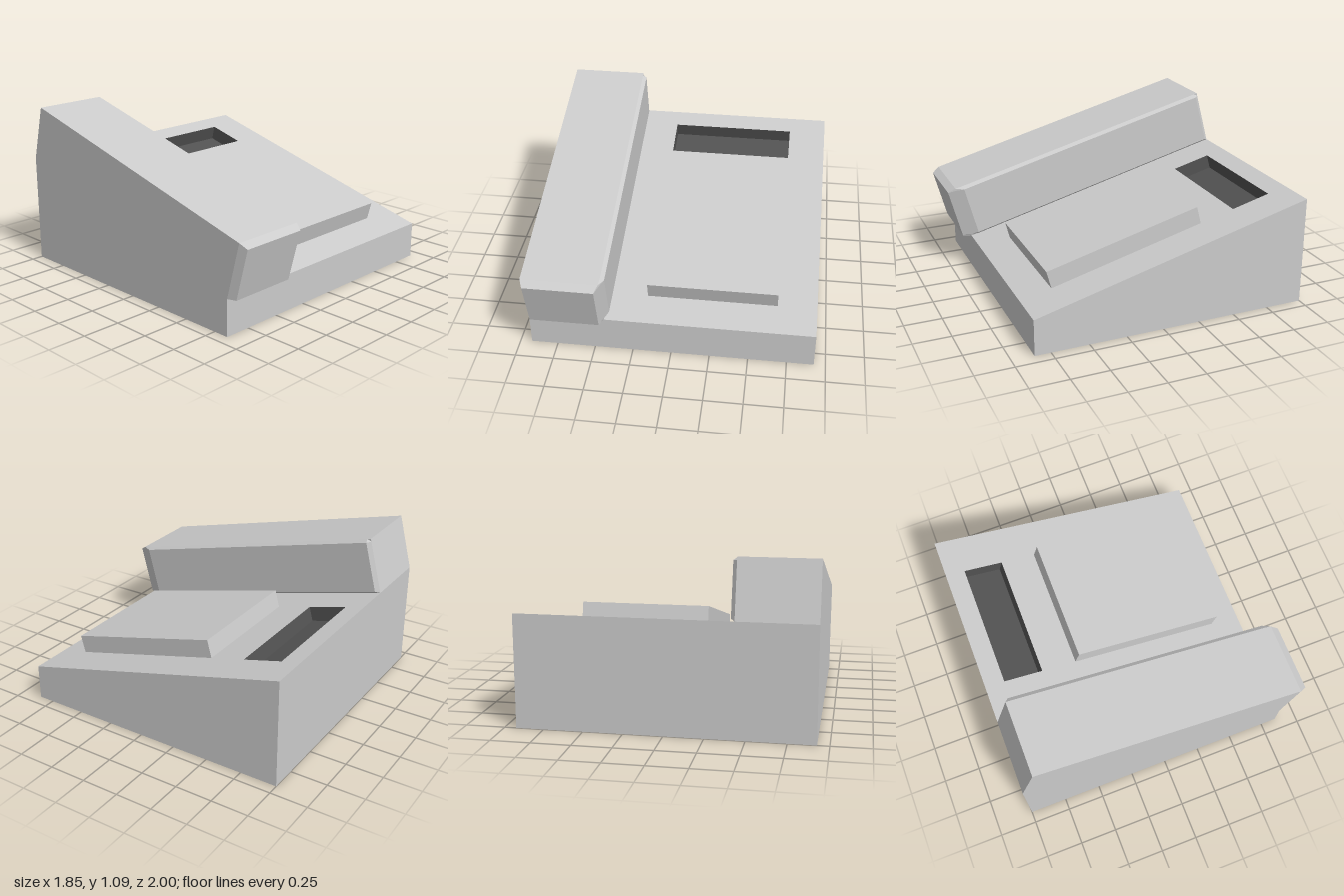
import * as THREE from 'three';

const HALF = 0.925, BACK = -1, FRONT = 0.855, BACK_H = 0.725, FRONT_H = 0.24;
const SLOPE = Math.atan2(BACK_H - FRONT_H, FRONT - BACK);
const DECK = Math.hypot(BACK_H - FRONT_H, FRONT - BACK);
const PANEL = { x0: -0.175, x1: 0.67 };

const grey = new THREE.MeshStandardMaterial({ color: 0xcccccc, flatShading: true });
const dark = new THREE.MeshStandardMaterial({ color: 0x525252, flatShading: true });

function part(name, geometry, material = grey) {
  const mesh = new THREE.Mesh(geometry, material);
  mesh.name = name;
  return mesh;
}

// Flat polygons (counter-clockwise from outside), each fanned into triangles
function polygons(faces) {
  const pos = [];
  for (const f of faces)
    for (let i = 1; i < f.length - 1; i++) pos.push(...f[0], ...f[i], ...f[i + 1]);
  const g = new THREE.BufferGeometry();
  g.setAttribute('position', new THREE.Float32BufferAttribute(pos, 3));
  g.computeVertexNormals();
  return g;
}

// Wedge walls and underside; the sloping deck is a separate panel
function wedgeGeometry() {
  const side = (x) => [[x, 0, FRONT], [x, 0, BACK], [x, BACK_H, BACK], [x, FRONT_H, FRONT]];
  const r = side(HALF), l = side(-HALF);
  return polygons([
    r, [...l].reverse(),
    [l[0], r[0], r[3], l[3]], // front
    [r[1], l[1], l[2], r[2]], // back
    [l[1], r[1], r[0], l[0]], // underside
  ]);
}

// Deck panel with a rectangular opening, lying in the local xz plane
function deckGeometry(z0, z1) {
  const rect = (path, xa, xb, za, zb) =>
    path.moveTo(xa, -za).lineTo(xb, -za).lineTo(xb, -zb).lineTo(xa, -zb).closePath();
  const shape = new THREE.Shape();
  rect(shape, -HALF, HALF, 0, DECK);
  const hole = new THREE.Path();
  rect(hole, PANEL.x0, PANEL.x1, z0, z1);
  shape.holes.push(hole);
  return new THREE.ShapeGeometry(shape).rotateX(-Math.PI / 2);
}

// Box between two heights and depths, as wide as the panel
function panelBox(y0, y1, z0, z1) {
  return new THREE.BoxGeometry(PANEL.x1 - PANEL.x0, y1 - y0, z1 - z0)
    .translate((PANEL.x0 + PANEL.x1) / 2, (y0 + y1) / 2, (z0 + z1) / 2);
}

// Open-topped recess: a box without its top, turned inside out
function recessGeometry(depth, z0, z1) {
  const box = panelBox(-depth, 0, z0, z1);
  const index = Array.from(box.index.array);
  index.splice(12, 6);
  box.setIndex(index.reverse());
  const g = box.toNonIndexed();
  g.computeVertexNormals();
  return g;
}

// Handset lofted through six-sided sections, bevelled on its inner side and front end
function handsetGeometry() {
  const sections = [
    // z, left x, right x, bevel width, bevel height, bottom, top
    [0, -0.925, -0.43, 0, 0.02, 0, 0.38],
    [0.025, -0.925, -0.405, 0.025, 0.018, 0, 0.38],
    [1.865, -0.925, -0.405, 0.025, 0.018, 0, 0.38],
    [1.917, -0.925, -0.43, 0.004, 0.015, 0, 0.38],
    [1.971, -0.905, -0.455, 0, 0.01, 0.014, 0.36],
  ];
  const rings = sections.map(([z, xl, xr, bw, bh, y0, y1]) => [
    [xl, y0, z], [xr - bw, y0, z], [xr, y0 + bh, z],
    [xr, y1 - bh, z], [xr - bw, y1, z], [xl, y1, z],
  ]);
  const faces = [[...rings[0]].reverse(), rings[rings.length - 1]];
  for (let i = 0; i < rings.length - 1; i++) {
    const a = rings[i], b = rings[i + 1];
    for (let j = 0; j < 6; j++) {
      const k = (j + 1) % 6;
      faces.push([a[j], a[k], b[k], b[j]]);
    }
  }
  return polygons(faces);
}

export function createModel() {
  const model = new THREE.Group();
  model.name = 'deskPhone';
  model.add(part('base', wedgeGeometry()));

  // Everything on the sloping deck: origin at its back edge, z runs down to the front
  const top = new THREE.Group();
  top.name = 'slopingTop';
  top.position.set(0, BACK_H, BACK);
  top.rotation.x = SLOPE;
  top.add(
    part('deck', deckGeometry(0.134, 0.403)),
    part('displayRecess', recessGeometry(0.1, 0.134, 0.403), dark),
    part('keypad', panelBox(0, 0.12, 0.645, 1.706)),
    part('handset', handsetGeometry()),
  );
  model.add(top);
  return model;
}
